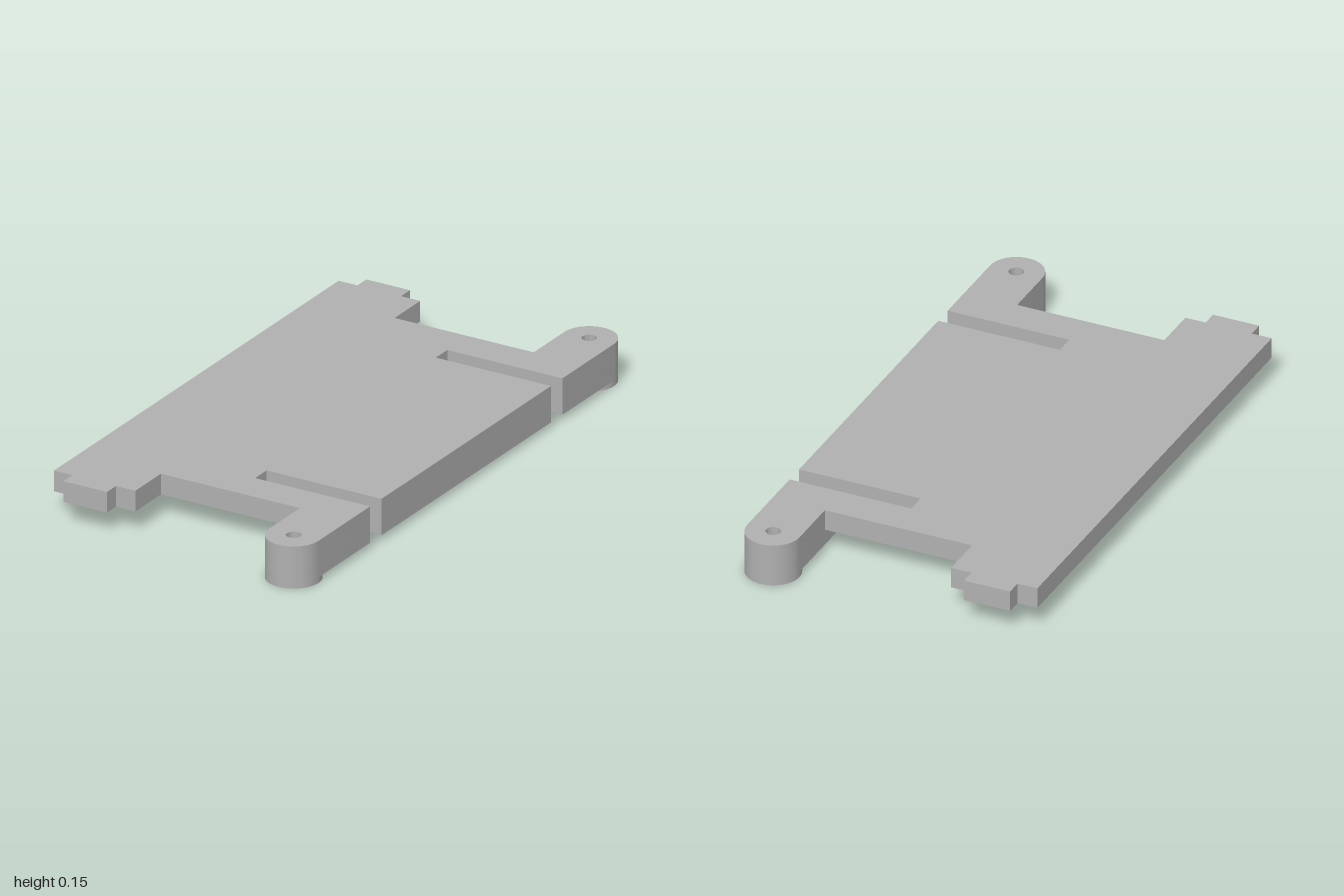
import * as THREE from 'three';
import { toCreasedNormals } from 'three/addons/utils/BufferGeometryUtils.js';

const TOP = 0.147, PLATE = 0.075, LIP = 0.02;   // heights of the top and the two undersides
const RIGHT = 0.505, ARM = 0.32;                // outer and inner edge of the thick strip
const BOSS = { x: 0.4125, z: 0.9075, r: 0.0925, hole: 0.025 };

export function createModel() {
  const group = new THREE.Group();
  const grey = new THREE.MeshStandardMaterial({ color: 0xb0b0b0 });
  grey.name = 'plain grey';

  // Extrudes a plan outline (x, z) between two heights.
  function addSlab(name, shape, y0, y1) {
    let geo = new THREE.ExtrudeGeometry(shape, { depth: y1 - y0, bevelEnabled: false, curveSegments: 24 });
    geo.rotateX(-Math.PI / 2);
    geo.translate(0, y0, 0);
    geo = toCreasedNormals(geo, 0.6);
    const mesh = new THREE.Mesh(geo, grey);
    mesh.name = name;
    group.add(mesh);
  }

  const arc = (a0, a1, n, s) => Array.from({ length: n + 1 }, (_, i) => {
    const a = a0 + (a1 - a0) * i / n;
    return [BOSS.x + BOSS.r * Math.cos(a), s * (BOSS.z + BOSS.r * Math.sin(a))];
  });
  const toShape = (pts) => new THREE.Shape(pts.map(([x, y]) => new THREE.Vector2(x, y)));
  const addHole = (shape, s) => {
    const hole = new THREE.Path();
    hole.absarc(BOSS.x, s * BOSS.z, BOSS.hole, 0, Math.PI * 2, true);
    shape.holes.push(hole);
  };

  // Plate: half outline with slot, rounded arm end and stepped tab, then mirrored
  const half = [
    [RIGHT, 0.52], [0.075, 0.52], [0.075, 0.59], [RIGHT, 0.59],
    ...arc(0, Math.PI, 28, 1),
    [ARM, 0.718], [-0.2, 0.718], [-0.2, 0.875], [-0.272, 0.875],
    [-0.272, 0.93], [-0.435, 0.93], [-0.435, 0.875], [-RIGHT, 0.875],
  ];
  const plate = toShape([...half, ...half.map(([x, z]) => [x, -z]).reverse()]);
  addHole(plate, 1);
  addHole(plate, -1);
  addSlab('plate', plate, PLATE, TOP);

  // Thick lip along the edge between the slots
  addSlab('edgeLip', toShape([[ARM, -0.52], [RIGHT, -0.52], [RIGHT, 0.52], [ARM, 0.52]]), LIP, PLATE);

  // Thick arms and the round bosses they stand on
  for (const s of [1, -1]) {
    const side = s > 0 ? 'front' : 'back';
    const arm = toShape([[ARM, s * 0.59], [RIGHT, s * 0.59], ...arc(0, Math.PI, 28, s)]);
    addHole(arm, s);
    addSlab(side + 'Arm', arm, LIP, PLATE);

    const boss = toShape(arc(0, Math.PI * 2, 56, s).slice(0, -1));
    addHole(boss, s);
    addSlab(side + 'Boss', boss, 0, LIP);
  }
  return group;
}
